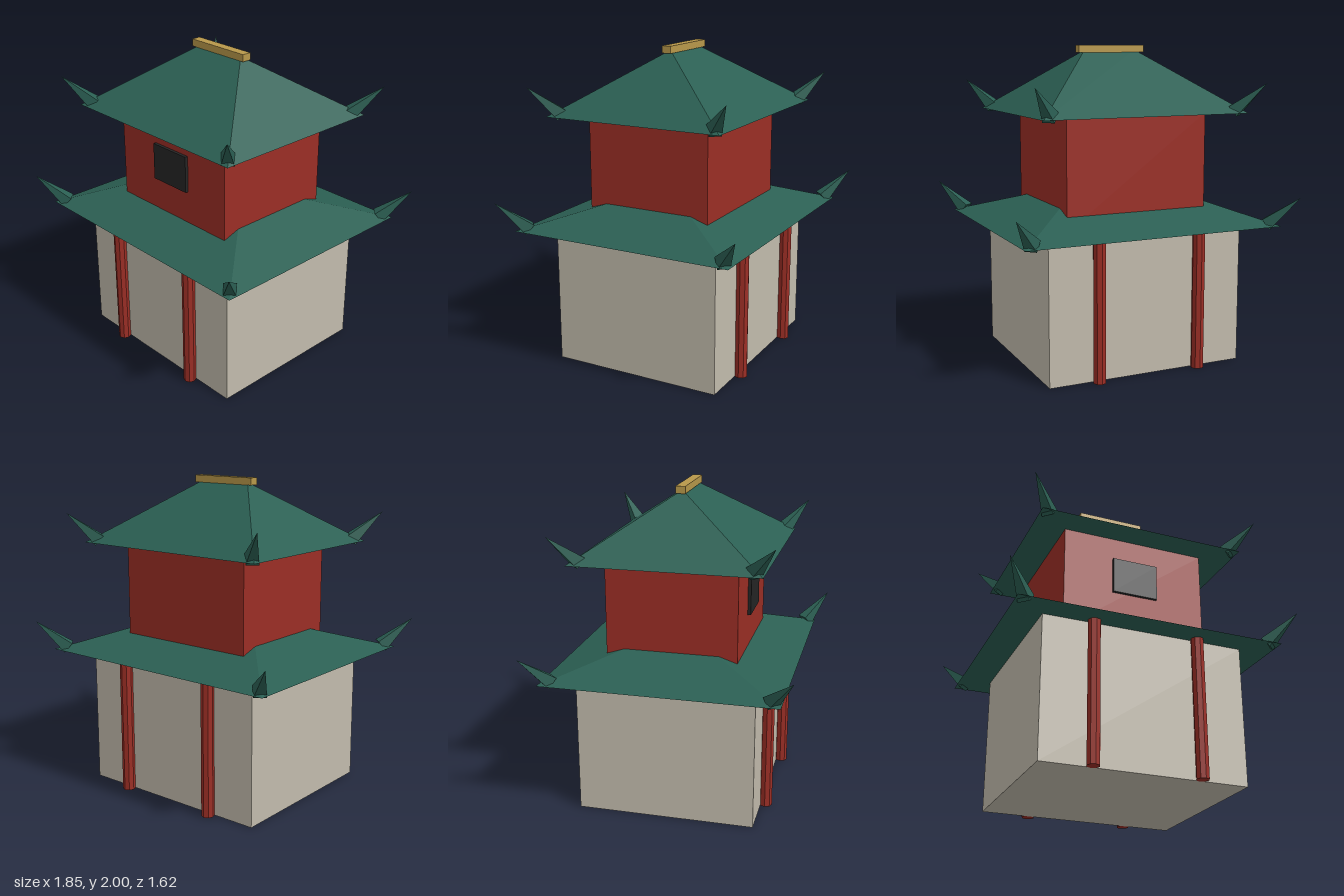
import * as THREE from 'three';

const mat = (name, color) => {
  const m = new THREE.MeshStandardMaterial({ color, flatShading: true });
  m.name = name;
  return m;
};

// Hip roof: rectangular eaves rising to a ridge along x, with a closed underside
function hipRoof(hx, hz, ridge, height) {
  const A = [-hx, 0, hz], B = [hx, 0, hz], C = [hx, 0, -hz], D = [-hx, 0, -hz];
  const L = [-ridge, height, 0], R = [ridge, height, 0];
  const tris = [
    A, B, R, A, R, L, // front slope
    C, D, L, C, L, R, // back slope
    B, C, R, D, A, L, // side slopes
    A, D, C, A, C, B, // underside
  ];
  const g = new THREE.BufferGeometry();
  g.setAttribute('position', new THREE.Float32BufferAttribute(tris.flat(), 3));
  g.computeVertexNormals();
  return g;
}

export function createModel() {
  const model = new THREE.Group();
  model.name = 'pagoda';
  const stone = mat('stone', 0xc2bbac);
  const red = mat('red', 0x9b2e25);
  const green = mat('green', 0x2b5f53);
  const gold = mat('gold', 0xb8984a);
  const dark = mat('dark', 0x252525);

  const add = (name, geometry, material, x, y, z, parent = model) => {
    const mesh = new THREE.Mesh(geometry, material);
    mesh.name = name;
    mesh.position.set(x, y, z);
    parent.add(mesh);
    return mesh;
  };
  const box = (name, material, w, h, d, x, y, z) =>
    add(name, new THREE.BoxGeometry(w, h, d), material, x, y + h / 2, z);

  // Walls of both storeys
  box('lowerWalls', stone, 1.29, 0.885, 1.11, 0, 0, 0);
  box('upperWalls', red, 0.936, 0.69, 0.82, 0, 0.895, 0);
  box('window', dark, 0.295, 0.235, 0.02, 0, 1.2, 0.42);

  // Columns on the front and back
  const column = new THREE.CylinderGeometry(0.04, 0.04, 0.885, 8);
  for (const x of [-0.335, 0.335])
    for (const z of [-0.585, 0.585]) add('column', column, red, x, 0.4425, z);

  // Upturned corner horn: square spike leaning outwards along +x
  const horn = new THREE.ConeGeometry(0.055, 0.27, 4);
  horn.rotateY(Math.PI / 4);
  horn.translate(0, 0.135, 0);
  horn.rotateZ(-0.86);

  // Roofs with a horn at each corner
  const roof = (name, hx, hz, ridge, height, y) => {
    const group = new THREE.Group();
    group.name = name;
    group.position.y = y;
    model.add(group);
    add(name + 'Slopes', hipRoof(hx, hz, ridge, height), green, 0, 0, 0, group);
    for (const sx of [-1, 1])
      for (const sz of [-1, 1]) {
        const h = add('horn', horn, green, sx * (hx - 0.065), 0.012, sz * (hz - 0.065), group);
        h.rotation.y = -Math.atan2(sz, sx);
      }
  };
  roof('lowerRoof', 0.845, 0.73, 0.21, 0.24, 0.885);
  roof('upperRoof', 0.675, 0.585, 0.175, 0.385, 1.585);

  // Ridge beam
  box('ridgeBeam', gold, 0.45, 0.045, 0.06, 0, 1.955, 0);

  return model;
}
